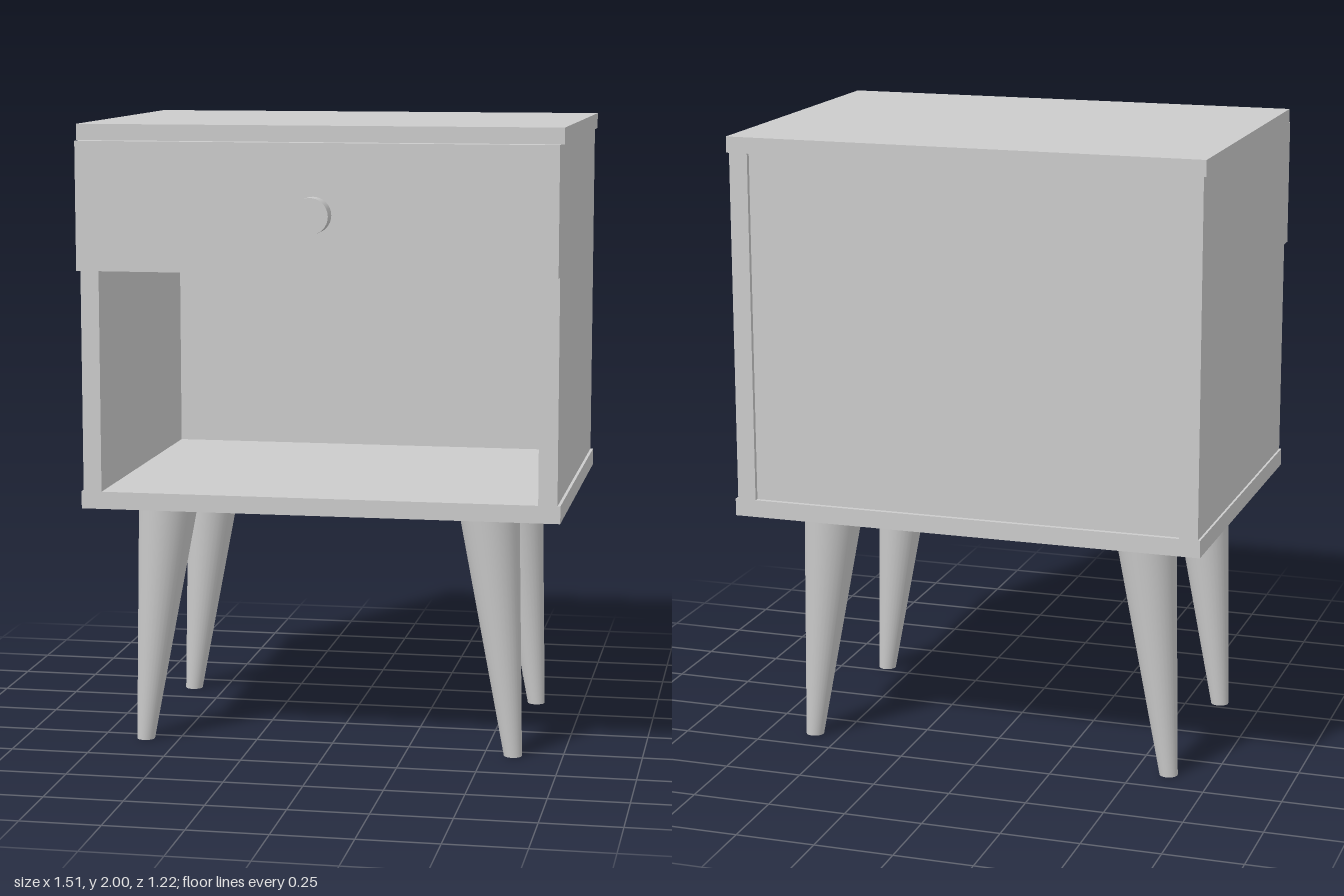
import * as THREE from 'three';

const material = new THREE.MeshStandardMaterial({ color: 0xcccccc });

// Box given by its min and max on each axis
function board(name, [x0, x1], [y0, y1], [z0, z1]) {
  const geometry = new THREE.BoxGeometry(x1 - x0, y1 - y0, z1 - z0);
  geometry.translate((x0 + x1) / 2, (y0 + y1) / 2, (z0 + z1) / 2);
  const mesh = new THREE.Mesh(geometry, material);
  mesh.name = name;
  return mesh;
}

// Tapered round leg, sheared outward so both ends stay level
function leg(name, topX, footX, z) {
  const height = 0.78;
  const geometry = new THREE.CylinderGeometry(0.095, 0.029, height, 32);
  geometry.translate(0, height / 2, 0);
  const shear = new THREE.Matrix4();
  shear.elements[4] = (topX - footX) / height;
  geometry.applyMatrix4(shear);
  const mesh = new THREE.Mesh(geometry, material);
  mesh.position.set(footX, 0, z);
  mesh.name = name;
  return mesh;
}

export function createModel() {
  const group = new THREE.Group();
  group.name = 'nightstand';
  const depth = [-0.612, 0.507];

  // Cabinet shell
  group.add(
    board('topBoard', [-0.755, 0.755], [1.95, 2], depth),
    board('bottomBoard', [-0.755, 0.755], [0.795, 0.85], depth),
    board('leftSide', [0.687, 0.746], [0.85, 1.95], depth),
    board('rightSide', [-0.748, -0.69], [0.85, 1.95], depth),
    board('backPanel', [-0.69, 0.687], [0.85, 1.95], [-0.597, -0.56]),
  );

  // Drawer: front overlaps the cabinet sides, bottom closes the compartment
  group.add(
    board('drawerFront', [-0.748, 0.746], [1.55, 1.95], [0.507, 0.555]),
    board('drawerBottom', [-0.69, 0.687], [1.55, 1.59], [-0.56, 0.507]),
  );

  // Round knob
  const knob = new THREE.Mesh(new THREE.CylinderGeometry(0.056, 0.056, 0.057, 32), material);
  knob.name = 'drawerKnob';
  knob.rotation.x = Math.PI / 2;
  knob.position.set(-0.002, 1.732, 0.5835);
  group.add(knob);

  // Four splayed legs
  for (const [end, z] of [['front', 0.293], ['back', -0.387]]) {
    group.add(leg(end + 'LeftLeg', 0.511, 0.592, z));
    group.add(leg(end + 'RightLeg', -0.527, -0.61, z));
  }
  return group;
}
